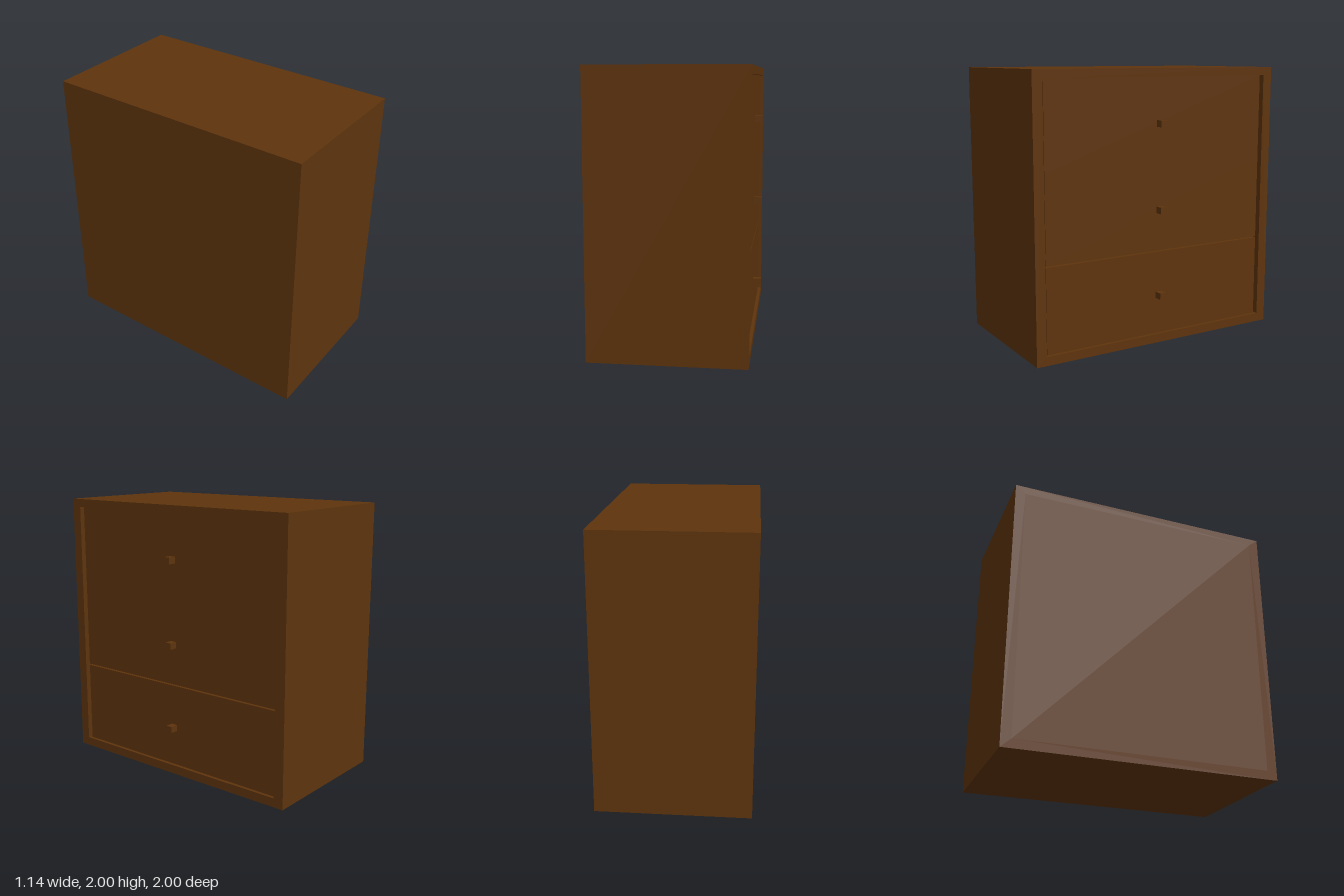
import * as THREE from 'three';

export function createModel() {
  const model = new THREE.Group();
  model.name = 'chestOfDrawers';
  const wood = new THREE.MeshStandardMaterial({ color: 0x5e340d });
  wood.name = 'dark brown wood';

  const back = -0.57, front = 0.535, backThickness = 0.06, recess = 0.025;
  const face = front - recess;

  // Box from its lower and upper corners
  function block(name, [x0, y0, z0], [x1, y1, z1]) {
    const mesh = new THREE.Mesh(new THREE.BoxGeometry(x1 - x0, y1 - y0, z1 - z0), wood);
    mesh.position.set((x0 + x1) / 2, (y0 + y1) / 2, (z0 + z1) / 2);
    mesh.name = name;
    model.add(mesh);
  }

  // Case: rectangular tube open towards +x
  const outline = new THREE.Shape([[-1, 0], [1, 0], [1, 2], [-1, 2]].map(p => new THREE.Vector2(...p)));
  outline.holes.push(new THREE.Path(
    [[-0.925, 0.065], [-0.925, 1.94], [0.925, 1.94], [0.925, 0.065]].map(p => new THREE.Vector2(...p))));
  const caseGeometry = new THREE.ExtrudeGeometry(outline, { depth: front - back, bevelEnabled: false });
  caseGeometry.rotateY(Math.PI / 2).translate(back, 0, 0);
  const cabinet = new THREE.Mesh(caseGeometry, wood);
  cabinet.name = 'case';
  model.add(cabinet);
  block('backPanel', [back, 0.065, -0.925], [back + backThickness, 1.94, 0.925]);

  // Drawers: the upper two meet flush, the lowest has a thin gap above it
  [['bottomDrawer', 0.065, 0.68], ['middleDrawer', 0.69, 1.315], ['topDrawer', 1.315, 1.94]].forEach(
    ([name, y0, y1]) => block(name, [back + backThickness, y0, -0.91], [face, y1, 0.91]));

  // Square knobs
  [['bottomKnob', 0.357], ['middleKnob', 0.992], ['topKnob', 1.613]].forEach(
    ([name, y]) => block(name, [face, y - 0.024, -0.024], [0.57, y + 0.024, 0.024]));

  return model;
}
